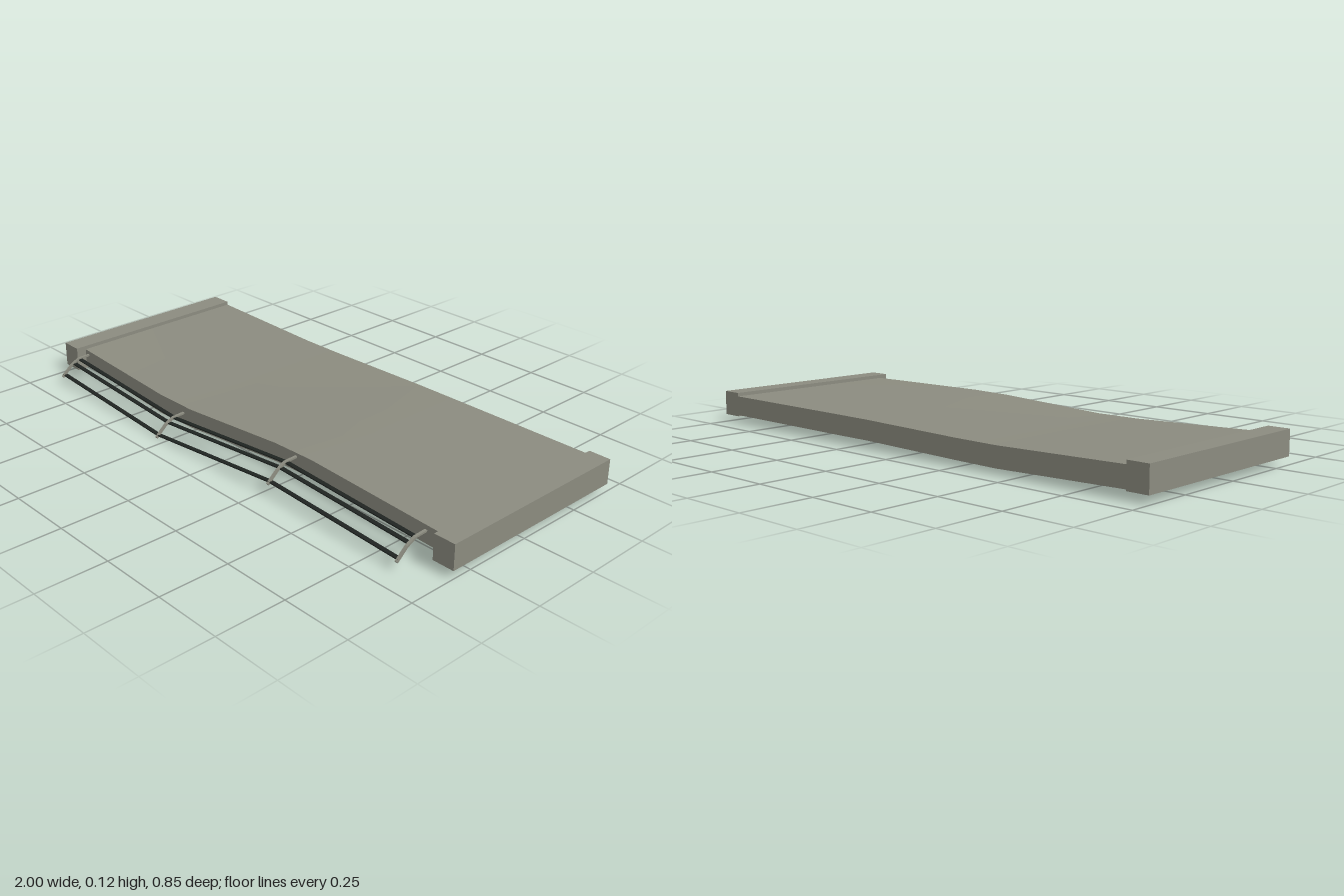
import * as THREE from 'three';

const concrete = new THREE.MeshStandardMaterial({ color: 0x8b8b7f });
concrete.name = 'weathered concrete';
const darkMetal = new THREE.MeshStandardMaterial({ color: 0x1f2421 });
darkMetal.name = 'dark metal';

// Slab stations along x: [x, front z, front top, front bottom, back top, back bottom]
const stations = [
  [-0.93, 0.288, 0.105, 0.04, 0.105, 0.033],
  [-0.42, 0.3, 0.086, 0.012, 0.093, 0.02],
  [-0.25, 0.298, 0.086, 0.016, 0.094, 0.022],
  [0.18, 0.279, 0.111, 0.044, 0.102, 0.03],
  [0.35, 0.277, 0.114, 0.048, 0.103, 0.03],
  [0.93, 0.295, 0.105, 0.042, 0.105, 0.033],
];

// Posts: [x, z shift, y shift] of the shared outward-bent profile
const posts = [
  [-0.9, 0.01, -0.012],
  [-0.29, 0.02, -0.04],
  [0.28, 0, 0],
  [0.86, 0.015, -0.012],
];
const postProfile = [[0.26, 0.1], [0.325, 0.097], [0.36, 0.08], [0.402, 0.043]];
const railSpots = [[0.32, 0.094], [0.345, 0.083], [0.39, 0.05]];

// Sweeps a rectangular section along points; up and side are half-extents
function sweptBar(points, up, side, material, name) {
  const n = points.length - 1;
  const geo = new THREE.BoxGeometry(1, 1, 1, n, 1, 1);
  const p = geo.attributes.position;
  for (let i = 0; i < p.count; i++) {
    const v = points[Math.round((p.getX(i) + 0.5) * n)].clone();
    v.addScaledVector(up, Math.sign(p.getY(i))).addScaledVector(side, Math.sign(p.getZ(i)));
    p.setXYZ(i, v.x, v.y, v.z);
  }
  const flat = geo.toNonIndexed();
  flat.computeVertexNormals();
  const mesh = new THREE.Mesh(flat, material);
  mesh.name = name;
  return mesh;
}

// Sagging, twisted deck: a subdivided box moved onto the stations
function makeDeck() {
  const n = stations.length - 1;
  const geo = new THREE.BoxGeometry(1, 1, 1, n, 1, 2);
  const p = geo.attributes.position;
  for (let i = 0; i < p.count; i++) {
    const [x, frontZ, frontTop, frontBottom, backTop, backBottom] =
      stations[Math.round((p.getX(i) + 0.5) * n)];
    const top = p.getY(i) > 0;
    const zi = Math.round((p.getZ(i) + 0.5) * 2);
    const y = zi === 2 ? (top ? frontTop : frontBottom) : (top ? backTop : backBottom);
    p.setXYZ(i, x, y, [-0.425, -0.05, frontZ][zi]);
  }
  geo.computeVertexNormals();
  const mesh = new THREE.Mesh(geo, concrete);
  mesh.name = 'deck';
  return mesh;
}

export function createModel() {
  const model = new THREE.Group();
  model.name = 'bentSlabWithRailing';
  model.add(makeDeck());

  // End blocks
  for (const s of [-1, 1]) {
    const block = new THREE.Mesh(new THREE.BoxGeometry(0.08, 0.09, 0.752), concrete);
    block.position.set(s * 0.96, 0.073, -0.049);
    block.name = s > 0 ? 'leftEndBlock' : 'rightEndBlock';
    model.add(block);
  }

  // Railing drooping outwards over the front edge
  const railing = new THREE.Group();
  railing.name = 'railing';
  posts.forEach(([x, dz, dy], i) => {
    const path = postProfile.map(([z, y]) => new THREE.Vector3(x, y + dy, z + dz));
    railing.add(sweptBar(path, new THREE.Vector3(0, 0.003, 0.002),
      new THREE.Vector3(-0.005, 0, 0), concrete, `post${i + 1}`));
  });
  railSpots.forEach(([z, y], i) => {
    const path = posts.map(([x, dz, dy]) => new THREE.Vector3(x, y + dy, z + dz));
    railing.add(sweptBar(path, new THREE.Vector3(0, 0.002, 0),
      new THREE.Vector3(0, 0, 0.008), darkMetal, `rail${i + 1}`));
  });
  model.add(railing);
  return model;
}
